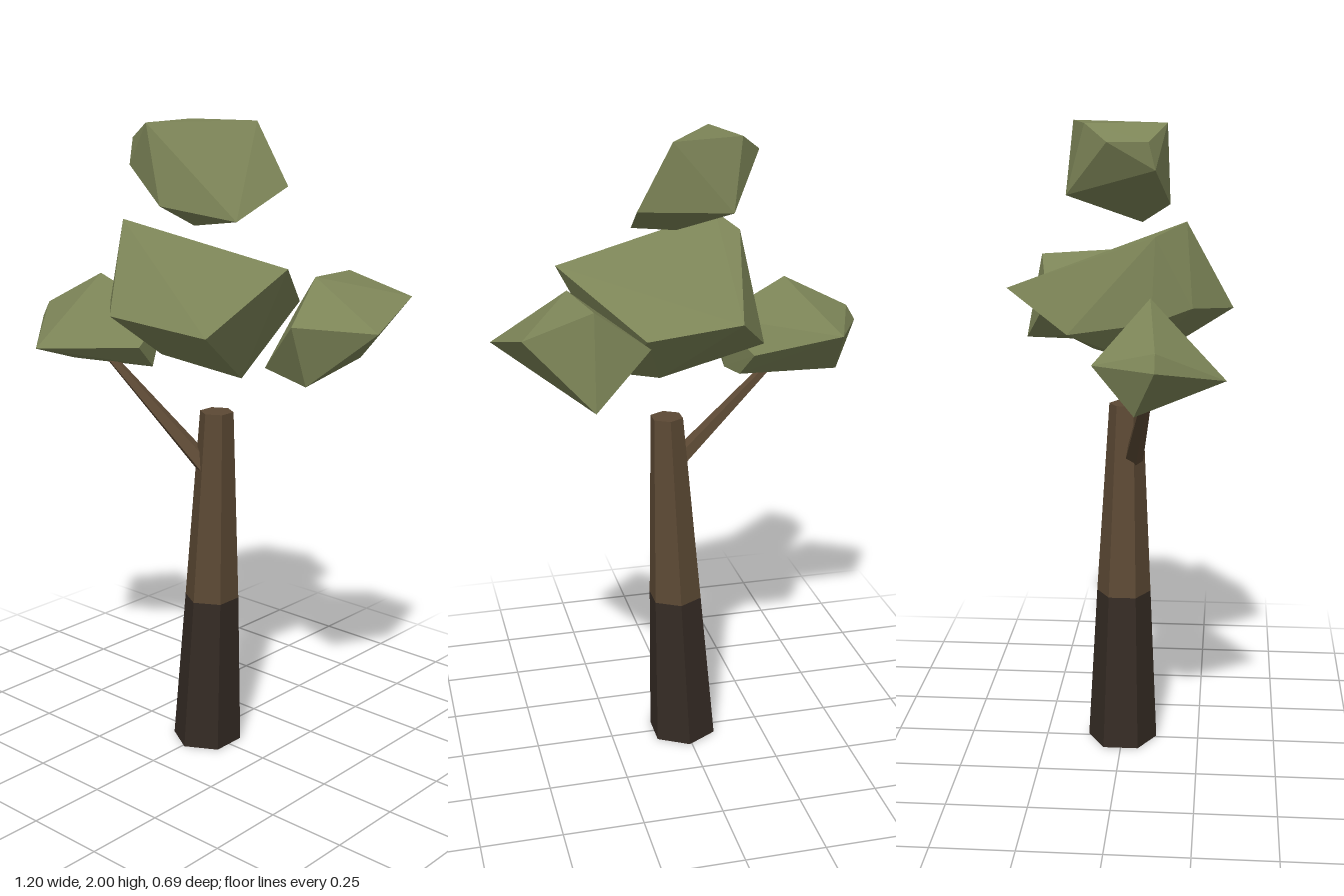
import * as THREE from 'three';
import { ConvexGeometry } from 'three/addons/geometries/ConvexGeometry.js';

const material = (color) => new THREE.MeshStandardMaterial({ color, flatShading: true });

// Faceted leaf clump wrapped around a few corner points
function clump(name, corners, mat) {
  const geometry = new ConvexGeometry(corners.map((c) => new THREE.Vector3(...c)));
  const mesh = new THREE.Mesh(geometry, mat);
  mesh.name = name;
  return mesh;
}

// Leaning trunk piece: a tapered hexagon sheared between two centres
function trunkPiece(name, from, r0, to, r1, mat) {
  const geometry = new THREE.CylinderGeometry(r1, r0, 1, 6);
  const p = geometry.attributes.position;
  for (let i = 0; i < p.count; i++) {
    const c = p.getY(i) > 0 ? to : from;
    p.setXYZ(i, p.getX(i) + c[0], c[1], p.getZ(i) + c[2]);
  }
  geometry.computeVertexNormals();
  const mesh = new THREE.Mesh(geometry, mat);
  mesh.name = name;
  return mesh;
}

// Straight tapered limb between two points
function limb(name, from, r0, to, r1, mat) {
  const a = new THREE.Vector3(...from), b = new THREE.Vector3(...to);
  const dir = b.clone().sub(a);
  const mesh = new THREE.Mesh(new THREE.CylinderGeometry(r1, r0, dir.length(), 5), mat);
  mesh.position.copy(a).add(b).multiplyScalar(0.5);
  mesh.quaternion.setFromUnitVectors(new THREE.Vector3(0, 1, 0), dir.normalize());
  mesh.name = name;
  return mesh;
}

export function createModel() {
  const tree = new THREE.Group();
  tree.name = 'tree';
  const leaf = material(0x7c8457);
  const bark = material(0x5c4934);
  const darkBark = material(0x352b24);

  // Trunk and side branch
  const base = [0.008, 0, 0], middle = [0.03, 0.505, 0.002], top = [0.054, 1.125, 0.007];
  tree.add(
    trunkPiece('lowerTrunk', base, 0.112, middle, 0.087, darkBark),
    trunkPiece('upperTrunk', middle, 0.087, top, 0.053, bark),
    limb('branch', [0.04, 0.94, 0.03], 0.032, [-0.33, 1.265, 0.1], 0.014, bark),
  );

  // Crown clump
  tree.add(clump('crownFoliage', [
    [0.07, 2, -0.155], [-0.11, 2, 0.14], [-0.15, 2, -0.1],
    [0.18, 1.81, -0.172], [0.155, 1.72, 0.035], [0.01, 1.7, 0.06],
    [-0.05, 1.76, 0.147], [-0.21, 1.87, 0.11], [-0.22, 1.95, -0.03],
    [-0.215, 1.95, 0.09], [-0.11, 1.79, -0.16],
  ], leaf));

  // Large middle clump
  tree.add(clump('middleFoliage', [
    [-0.15, 1.72, 0.2], [0.38, 1.61, 0.07], [0.25, 1.42, 0.275],
    [-0.07, 1.455, 0.34], [-0.205, 1.68, 0.11], [-0.09, 1.51, -0.345],
    [0.17, 1.45, -0.25], [-0.21, 1.39, -0.15], [-0.19, 1.47, 0.22],
    [-0.23, 1.43, 0.1], [0.2, 1.262, 0.06], [-0.12, 1.29, 0.07],
    [0.1, 1.29, -0.1],
  ], leaf));

  // Clump on the +x side
  tree.add(clump('leftFoliage', [
    [0.33, 1.56, -0.29], [0.37, 1.57, -0.07], [0.54, 1.5, -0.32],
    [0.6, 1.43, -0.07], [0.415, 1.45, 0.095], [0.42, 1.265, 0.03],
    [0.34, 1.28, -0.345], [0.16, 1.43, -0.255], [0.24, 1.29, 0],
    [0.2, 1.32, -0.1],
  ], leaf));

  // Clump carried by the branch
  tree.add(clump('rightFoliage', [
    [-0.6, 1.36, 0.13], [-0.57, 1.41, 0.13], [-0.35, 1.525, 0.105],
    [-0.42, 1.305, 0.325], [-0.5, 1.36, -0.05], [-0.22, 1.31, -0.02],
    [-0.52, 1.22, 0.07], [-0.15, 1.25, 0.08], [-0.19, 1.235, 0.04],
    [-0.14, 1.32, 0.15], [-0.12, 1.42, 0.06],
  ], leaf));

  return tree;
}
